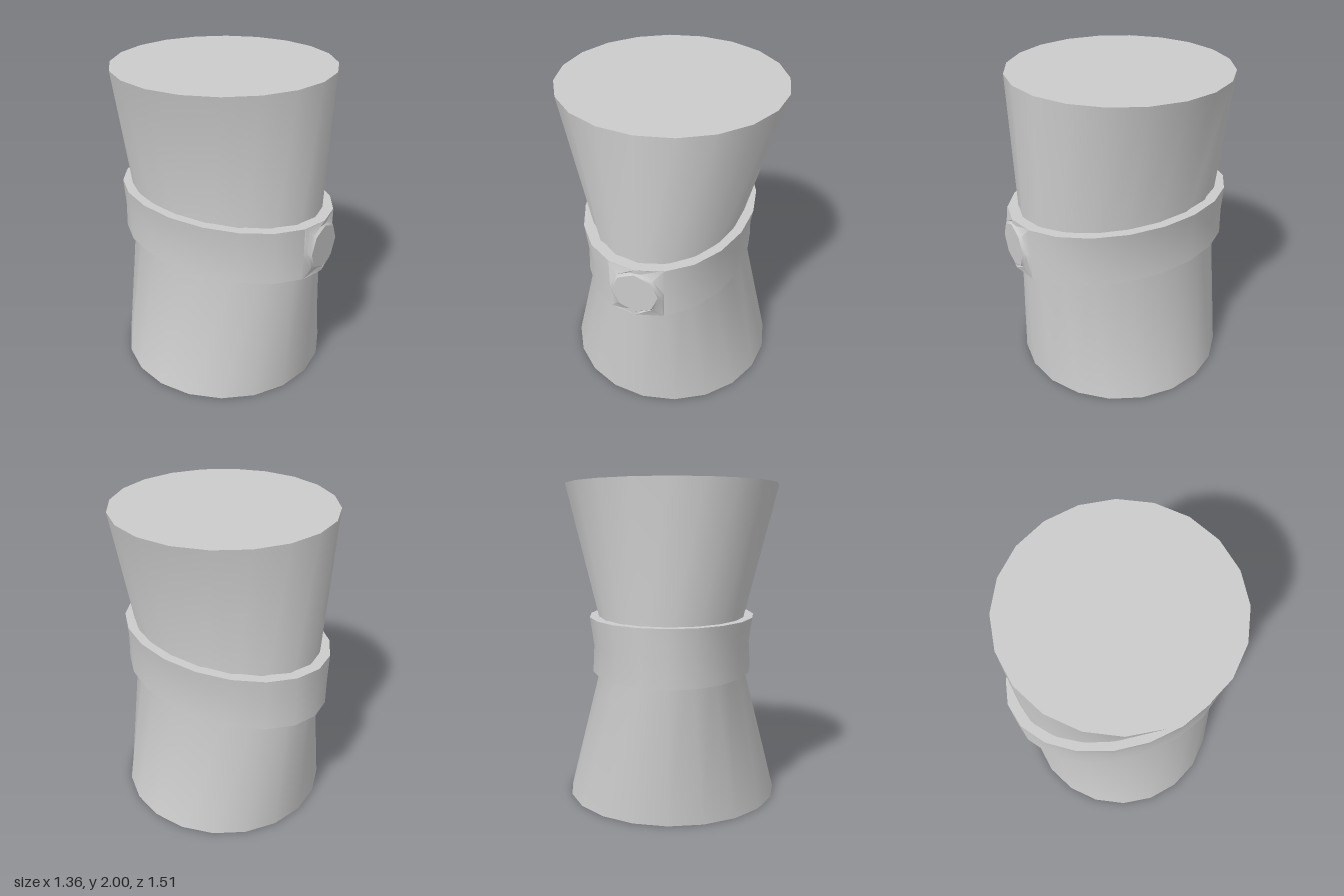
import * as THREE from 'three';
import { toCreasedNormals } from 'three/addons/utils/BufferGeometryUtils.js';

const material = new THREE.MeshStandardMaterial({ color: 0xcccccc });

// Scales each vertex in x by a factor that depends on its height
function pinchX(geometry, factor) {
  const p = geometry.attributes.position;
  for (let i = 0; i < p.count; i++) p.setX(i, p.getX(i) * factor(p.getY(i)));
  return geometry;
}

function part(name, geometry) {
  const mesh = new THREE.Mesh(toCreasedNormals(geometry, 0.6), material);
  mesh.name = name;
  return mesh;
}

// Button: rings of eight points from a square base on the band to a flat octagon
function buttonGeometry(cy) {
  const sides = 8;
  const ring = (fn) => Array.from({ length: sides }, (_, j) => {
    const a = (j / sides) * Math.PI * 2;
    return fn(Math.cos(a), Math.sin(a));
  });
  const circle = (r, z) => ring((c, s) => [r * c, cy + r * s, z]);
  const base = ring((c, s) => {
    const m = Math.max(Math.abs(c), Math.abs(s));
    const x = (0.165 * c) / m;
    return [x, cy + (0.172 * s) / m, 0.75 - 0.21 * Math.abs(x)];
  });
  const rings = [base, circle(0.155, 0.742), circle(0.14, 0.757), circle(0, 0.757)];
  const index = [];
  for (let i = 0; i < rings.length - 1; i++) {
    for (let j = 0; j < sides; j++) {
      const k = (j + 1) % sides;
      const a = i * sides + j, b = i * sides + k;
      index.push(a, b, b + sides);
      if (i < rings.length - 2) index.push(a, b + sides, a + sides);
    }
  }
  const g = new THREE.BufferGeometry();
  g.setAttribute('position', new THREE.Float32BufferAttribute(rings.flat(2), 3));
  g.setIndex(index);
  return g;
}

export function createModel() {
  const group = new THREE.Group();
  group.name = 'cinchedColumn';

  // Body: twenty-sided column, narrowed at the waist from side to side only
  const body = new THREE.CylinderGeometry(0.682, 0.682, 2, 20, 2).translate(0, 1, 0);
  pinchX(body, (y) => 0.63 + 0.37 * Math.abs(y - 1));
  group.add(part('body', body));

  // Band around the waist, with upper and lower rims running into the body
  const profile = [[0.64, 0.83], [0.75, 0.83], [0.75, 1], [0.75, 1.175], [0.64, 1.175]]
    .map(([r, y]) => new THREE.Vector2(r, y));
  const band = new THREE.LatheGeometry(profile, 20);
  pinchX(band, (y) => (y > 1.1 ? 0.71 : y > 0.9 ? 0.675 : 0.687));
  group.add(part('band', band));

  // Octagonal button on the front of the band
  group.add(part('button', buttonGeometry(1.0025)));

  group.position.z = -0.005;
  return group;
}
